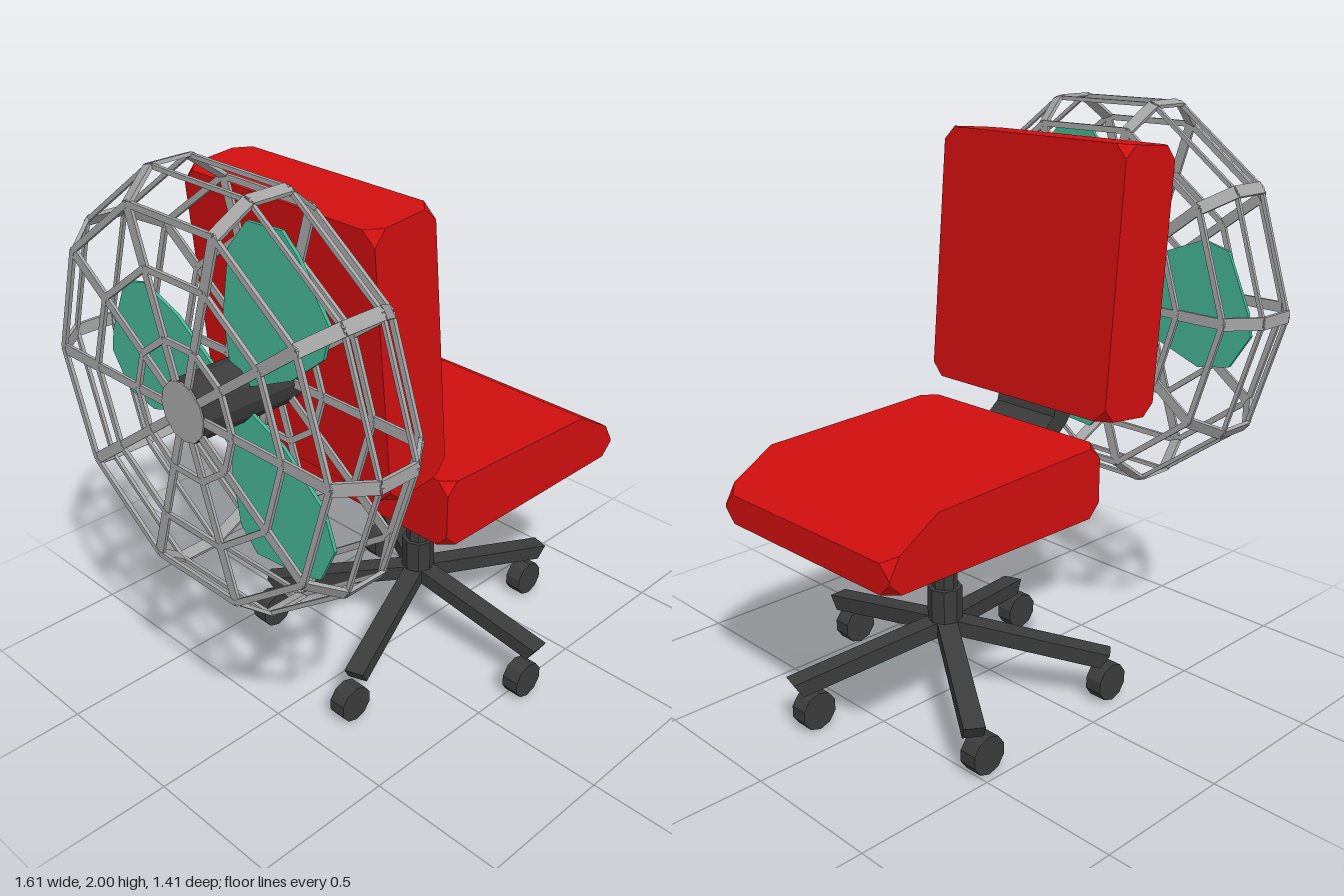
import * as THREE from 'three';
import { mergeGeometries } from 'three/addons/utils/BufferGeometryUtils.js';
import { ConvexGeometry } from 'three/addons/geometries/ConvexGeometry.js';

const V = (x, y, z) => new THREE.Vector3(x, y, z);

function material(name, color) {
  const m = new THREE.MeshStandardMaterial({ color });
  m.name = name;
  m.flatShading = true;
  return m;
}

function add(parent, name, geometry, mat, x = 0, y = 0, z = 0) {
  const mesh = new THREE.Mesh(geometry, mat);
  mesh.name = name;
  mesh.position.set(x, y, z);
  parent.add(mesh);
  return mesh;
}

// Side profile widened along z, with the listed corners cut off by small triangles
function cushion(profile, cutCorners, half, cut) {
  const pts = [];
  const n = profile.length;
  profile.forEach(([x, y], i) => {
    const c = V(x, y, 0);
    for (const s of [-1, 1]) {
      if (!cutCorners.includes(i)) { pts.push(V(x, y, s * half)); continue; }
      pts.push(V(x, y, s * (half - cut)));
      for (const j of [(i + 1) % n, (i + n - 1) % n]) {
        const dir = V(profile[j][0], profile[j][1], 0).sub(c).normalize();
        const p = c.clone().addScaledVector(dir, cut);
        pts.push(V(p.x, p.y, s * half));
      }
    }
  });
  return new ConvexGeometry(pts);
}

// Flat outline extruded and centred in depth
function plate(points, depth) {
  const shape = new THREE.Shape(points.map(([x, y]) => new THREE.Vector2(x, y)));
  const g = new THREE.ExtrudeGeometry(shape, { depth, bevelEnabled: false });
  return g.translate(0, 0, -depth / 2);
}

// Straight flat bar from p to q, with its width along the given direction
function bar(p, q, wideDir, width, thick) {
  const along = q.clone().sub(p);
  const length = along.length();
  along.normalize();
  const third = along.clone().cross(wideDir).normalize();
  const wide = third.clone().cross(along);
  const m = new THREE.Matrix4().makeBasis(along, wide, third);
  m.setPosition(p.clone().add(q).multiplyScalar(0.5));
  return new THREE.BoxGeometry(length, width, thick).applyMatrix4(m);
}

export function createModel() {
  const red = material('red upholstery', 0xd00f0f);
  const dark = material('charcoal', 0x3b3b3b);
  const grey = material('grey wire', 0xa6a6a6);
  const green = material('green blades', 0x45b394);
  const model = new THREE.Group();
  model.name = 'fanChair';

  // Cushions
  add(model, 'seat', cushion(
    [[-0.1, 0.7], [0.8, 0.7], [0.8, 0.8], [0.61, 0.915], [-0.1, 0.945]],
    [0, 1, 2, 4], 0.413, 0.045), red);
  add(model, 'backrest', cushion(
    [[-0.36, 0.987], [-0.116, 1.013], [-0.19, 1.902], [-0.434, 1.88]],
    [0, 1, 2, 3], 0.413, 0.045), red);

  // Bent bracket joining seat and backrest
  add(model, 'backBracket', plate([
    [-0.06, 0.77], [-0.06, 0.87], [-0.1, 0.9], [-0.175, 0.96], [-0.2, 1.06],
    [-0.3, 1.06], [-0.285, 0.99], [-0.24, 0.925], [-0.1, 0.81]], 0.275), dark);

  // Column and five-legged base
  const cx = 0.214;
  add(model, 'column', new THREE.CylinderGeometry(0.044, 0.044, 0.42, 8), dark, cx, 0.5, 0);
  add(model, 'columnSleeve', new THREE.CylinderGeometry(0.06, 0.06, 0.17, 8), dark, cx, 0.325, 0);
  const leg = plate([[0, 0.24], [0.06, 0.235], [0.54, 0.145], [0.572, 0.195], [0.06, 0.29], [0, 0.29]], 0.07);
  const wheel = new THREE.CylinderGeometry(0.067, 0.067, 0.064, 10).rotateX(Math.PI / 2);
  for (let i = 0; i < 5; i++) {
    const a = THREE.MathUtils.degToRad(87.5 + i * 72);
    add(model, 'leg', leg, dark, cx, 0, 0).rotation.y = -a;
    add(model, 'caster', wheel, dark, cx - 0.043 + 0.53 * Math.cos(a), 0.068, 0.53 * Math.sin(a));
  }

  // Fan, built around its local z axis and turned to spin about x
  const fan = new THREE.Group();
  fan.name = 'fan';
  fan.position.set(-0.625, 1.323, -0.002);
  fan.rotation.y = Math.PI / 2;
  model.add(fan);

  add(fan, 'motorHub', new THREE.CylinderGeometry(0.1, 0.1, 0.376, 12).rotateX(Math.PI / 2), dark, 0, 0, 0.013);
  add(fan, 'hubCap', new THREE.CylinderGeometry(0.098, 0.098, 0.006, 12).rotateX(Math.PI / 2), grey, 0, 0, -0.177);

  // Three wide blades
  const blade = plate([
    [0.08, -0.05], [0.2, -0.14], [0.41, -0.215], [0.54, -0.19], [0.62, -0.07],
    [0.603, 0.01], [0.513, 0.205], [0.41, 0.23], [0.25, 0.17], [0.08, 0.05]], 0.012);
  for (let i = 0; i < 3; i++) {
    add(fan, 'blade', blade, green, 0, 0, 0.013).rotation.z = i * Math.PI * 2 / 3;
  }

  // Ten-sided wire cage: rings plus flat ribs running over the rim to the hub
  const bars = [];
  const axis = V(0, 0, 1);
  const at = (r, k, z) => V(r * Math.cos(k * Math.PI / 5), r * Math.sin(k * Math.PI / 5), z);
  for (let k = 0; k < 10; k++) {
    const tangent = at(1, k + 2.5, 0);
    bars.push(bar(at(0.7, k, -0.07), at(0.7, k, 0.07), tangent, 0.042, 0.012));
    for (const s of [-1, 1]) {
      const face = s * 0.173;
      bars.push(bar(at(0.7, k, s * 0.07), at(0.615, k, face), tangent, 0.042, 0.012));
      bars.push(bar(at(0.615, k, face), at(0.43, k, face), tangent, 0.036, 0.01));
      bars.push(bar(at(0.43, k, face), at(0.09, k, face), tangent, 0.028, 0.01));
      for (const [r, z, w] of [[0.7, s * 0.07, 0.014], [0.615, face, 0.02], [0.43, face, 0.02], [0.22, face, 0.02]]) {
        const p = at(r, k, z), q = at(r, k + 1, z);
        bars.push(bar(p, q, q.clone().sub(p).cross(axis).normalize(), w, 0.012));
      }
    }
  }
  add(fan, 'cage', mergeGeometries(bars), grey);

  return model;
}
